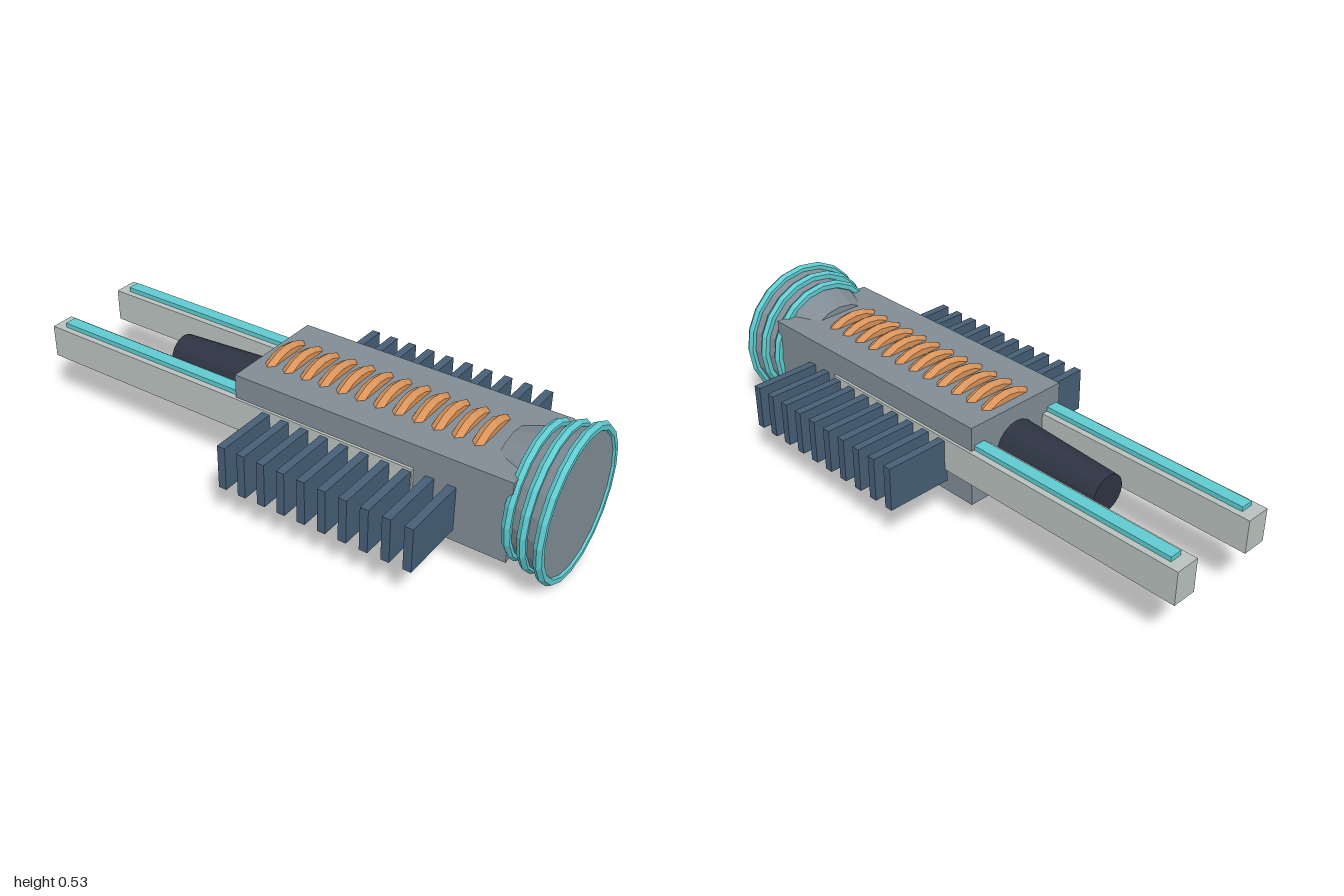
import * as THREE from 'three';

const paint = (name, color, flat = true) => {
  const m = new THREE.MeshStandardMaterial({ color, flatShading: flat });
  m.name = name;
  return m;
};

export function createModel() {
  const steel = paint('steel grey', 0x808c95);
  const finBlue = paint('fin blue', 0x465e76);
  const copper = paint('copper', 0xd8935a);
  const cyan = paint('cyan', 0x5fcbd0);
  const pale = paint('pale grey', 0xb8c1bd);
  const dark = paint('dark slate', 0x2d3442);

  const model = new THREE.Group();
  model.name = 'railDevice';
  const CY = 0.271; // height of the long axis

  const add = (name, geometry, material, x, y, z) => {
    const mesh = new THREE.Mesh(geometry, material);
    mesh.name = name;
    mesh.position.set(x, y, z);
    model.add(mesh);
    return mesh;
  };
  const box = (w, h, d) => new THREE.BoxGeometry(w, h, d);
  // round part along z: front radius, back radius, length
  const taper = (front, back, length, sides) =>
    new THREE.CylinderGeometry(front, back, length, sides).rotateX(Math.PI / 2);

  // main housing
  add('housing', box(0.41, 0.298, 1.025), steel, 0, CY, 0.352);

  // flared front dish with trim rings
  add('frontDish', taper(0.252, 0.174, 0.235, 20), steel, 0, CY, 0.8725);
  for (const [z, r] of [[0.862, 0.218], [0.922, 0.235], [0.983, 0.25]]) {
    const ring = add('dishRing', new THREE.TorusGeometry(r, 0.017, 6, 20), cyan, 0, CY, z);
    ring.rotation.z = Math.PI / 2;
  }

  // copper coils showing above and below the housing
  const coil = new THREE.TorusGeometry(0.16, 0.0235, 6, 24);
  for (let i = 0; i < 12; i++) add('coil', coil, copper, 0, CY, -0.105 + i * 0.0714);

  // rear barrel
  add('rearBarrel', taper(0.09, 0.068, 0.42, 20), dark, 0, CY, -0.352);

  for (const side of [1, -1]) {
    // rear rails with glowing strips
    add('rail', box(0.09, 0.122, 1.53), pale, side * 0.17, CY + 0.001, -0.235);
    add('railStrip', box(0.045, 0.018, 1.4), cyan, side * 0.17, 0.341, -0.257);
    // cooling fins
    for (let i = 0; i < 10; i++)
      add('coolingFin', box(0.25, 0.161, 0.03), finBlue, side * 0.325, 0.243, -0.028 + i * 0.077);
  }
  return model;
}
